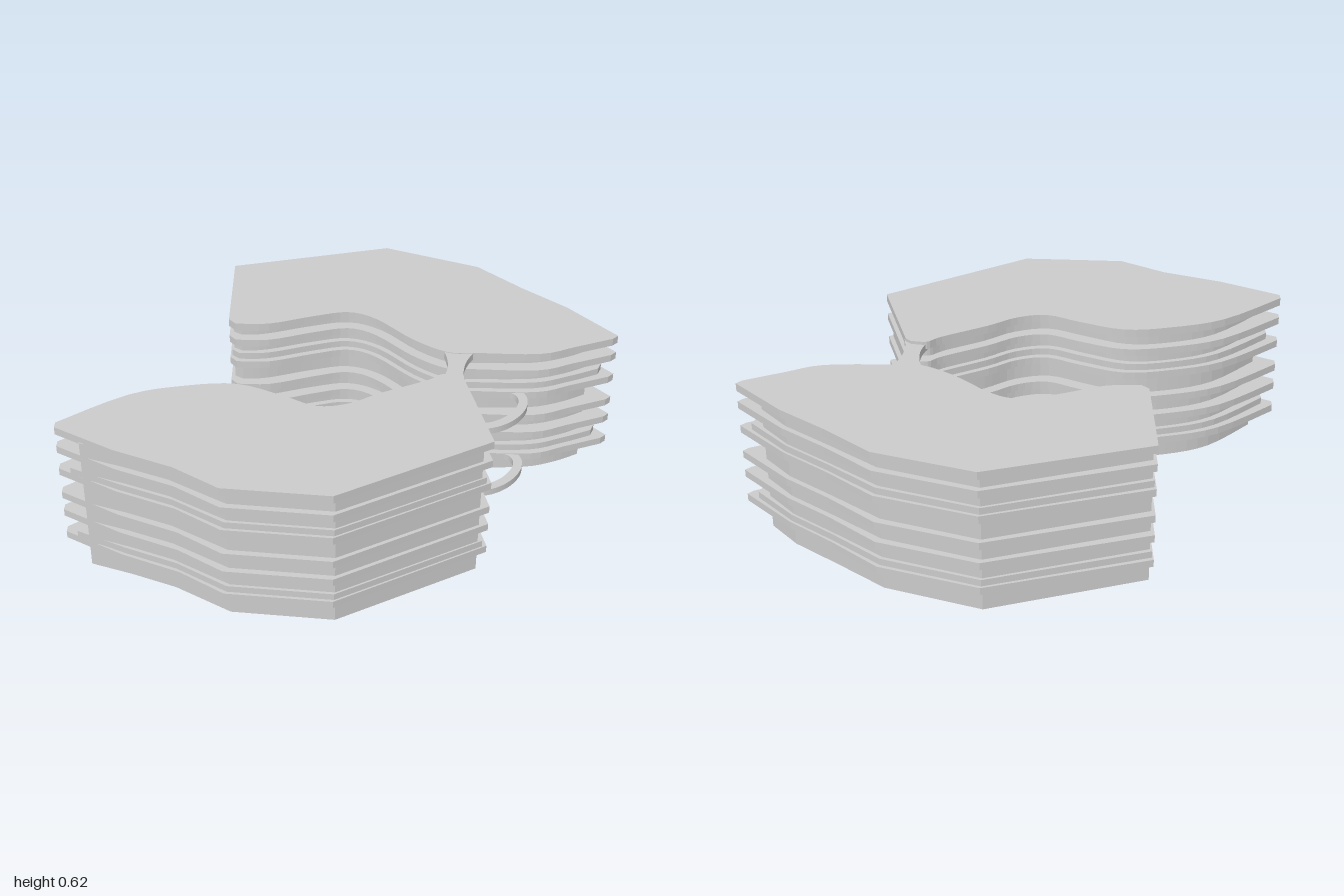
import * as THREE from 'three';

const material = new THREE.MeshStandardMaterial({ color: 0xcccccc });

// Plan outlines as [x, z]: straight street side, then curved courtyard side.
// "slab" is the projecting floor edge, "wall" the facade set back behind it.
const frontPlan = {
  straight: 7,
  slab: [[0.43, -0.33], [0.77, -0.14], [0.61, 0.5], [0.31, 0.77], [0.11, 0.82], [-0.11, 0.92], [-0.36, 1],
    [-0.38, 0.98], [-0.34, 0.68], [-0.24, 0.48], [-0.12, 0.33], [0.05, 0.25], [0.18, 0.2], [0.25, 0.1],
    [0.28, -0.03], [0.34, -0.22], [0.35, -0.29], [0.4, -0.33]],
  wall: [[0.43, -0.29], [0.75, -0.11], [0.6, 0.48], [0.31, 0.74], [0.07, 0.81], [-0.1, 0.89], [-0.25, 0.97],
    [-0.3, 0.93], [-0.29, 0.68], [-0.21, 0.5], [-0.1, 0.37], [0.06, 0.3], [0.21, 0.24], [0.29, 0.12],
    [0.32, -0.02], [0.37, -0.18], [0.38, -0.25], [0.41, -0.28]],
};
const backPlan = {
  straight: 7,
  slab: [[0.62, -1], [0.35, -1], [0.14, -0.97], [-0.1, -0.95], [-0.46, -0.77], [-0.78, -0.2], [-0.49, 0.07],
    [-0.45, 0.07], [-0.36, -0.03], [-0.28, -0.2], [-0.21, -0.32], [-0.1, -0.37], [0.1, -0.38], [0.25, -0.42],
    [0.33, -0.5], [0.5, -0.68], [0.56, -0.82], [0.62, -0.97]],
  wall: [[0.51, -0.97], [0.35, -0.98], [0.14, -0.95], [-0.1, -0.92], [-0.45, -0.75], [-0.75, -0.19], [-0.5, 0.04],
    [-0.46, 0.03], [-0.4, -0.05], [-0.32, -0.22], [-0.24, -0.35], [-0.11, -0.41], [0.09, -0.42], [0.23, -0.46],
    [0.31, -0.54], [0.45, -0.7], [0.51, -0.82], [0.54, -0.93]],
};

// Outline between wall (t = 0) and slab (t = 1)
function planShape(plan, t) {
  const points = plan.wall.map(([x, z], i) => new THREE.Vector2(
    x + (plan.slab[i][0] - x) * t, z + (plan.slab[i][1] - z) * t));
  const curve = new THREE.SplineCurve(points.slice(plan.straight));
  return new THREE.Shape([...points.slice(0, plan.straight), ...curve.getPoints(40)]);
}

// Horizontal plate from an x/z shape between two heights
function plate(name, shape, bottom, top) {
  const geometry = new THREE.ExtrudeGeometry(shape, { depth: top - bottom, bevelEnabled: false, curveSegments: 20 });
  geometry.rotateX(Math.PI / 2);
  geometry.translate(0, top, 0);
  const mesh = new THREE.Mesh(geometry, material);
  mesh.name = name;
  return mesh;
}

function building(name, plan, roofTop) {
  const group = new THREE.Group();
  group.name = name;
  group.add(plate('facade', planShape(plan, 0), 0.01, 0.6));
  // Projecting floors
  for (const y of [0.09, 0.2, 0.287, 0.4, 0.506]) {
    group.add(plate('floorSlab', planShape(plan, 1), y, y + 0.031));
  }
  // Shallow sills above the bridge floors
  for (const y of [0.121, 0.431]) {
    group.add(plate('sillBand', planShape(plan, 0.5), y, y + 0.028));
  }
  group.add(plate('roof', planShape(plan, 1), roofTop - 0.033, roofTop));
  return group;
}

// Curved walkway bowing out between the buildings
function walkwayShape() {
  const shape = new THREE.Shape();
  const end = THREE.MathUtils.degToRad(110);
  shape.absellipse(0.45, -0.48, 0.112, 0.162, -end, end, false);
  shape.absellipse(0.45, -0.48, 0.075, 0.125, end, -end, true);
  return shape;
}

// Waisted bridge joining the roofs
function bridgeShape() {
  const shape = new THREE.Shape();
  shape.moveTo(0.23, -0.42);
  shape.quadraticCurveTo(0.33, -0.37, 0.36, -0.28);
  shape.lineTo(0.45, -0.32);
  shape.quadraticCurveTo(0.34, -0.39, 0.32, -0.5);
  return shape;
}

export function createModel() {
  const model = new THREE.Group();
  model.name = 'twinBuildings';
  model.add(building('frontBuilding', frontPlan, 0.625));
  model.add(building('backBuilding', backPlan, 0.615));
  for (const y of [0.09, 0.4]) model.add(plate('curvedWalkway', walkwayShape(), y, y + 0.028));
  model.add(plate('roofBridge', bridgeShape(), 0.582, 0.612));

  // Entrance block on the courtyard side
  const entrance = new THREE.Shape([[-0.08, -0.36], [0.22, -0.42], [0.2, -0.47], [-0.08, -0.43]]
    .map(([x, z]) => new THREE.Vector2(x, z)));
  model.add(plate('entrance', entrance, 0, 0.085));
  return model;
}
